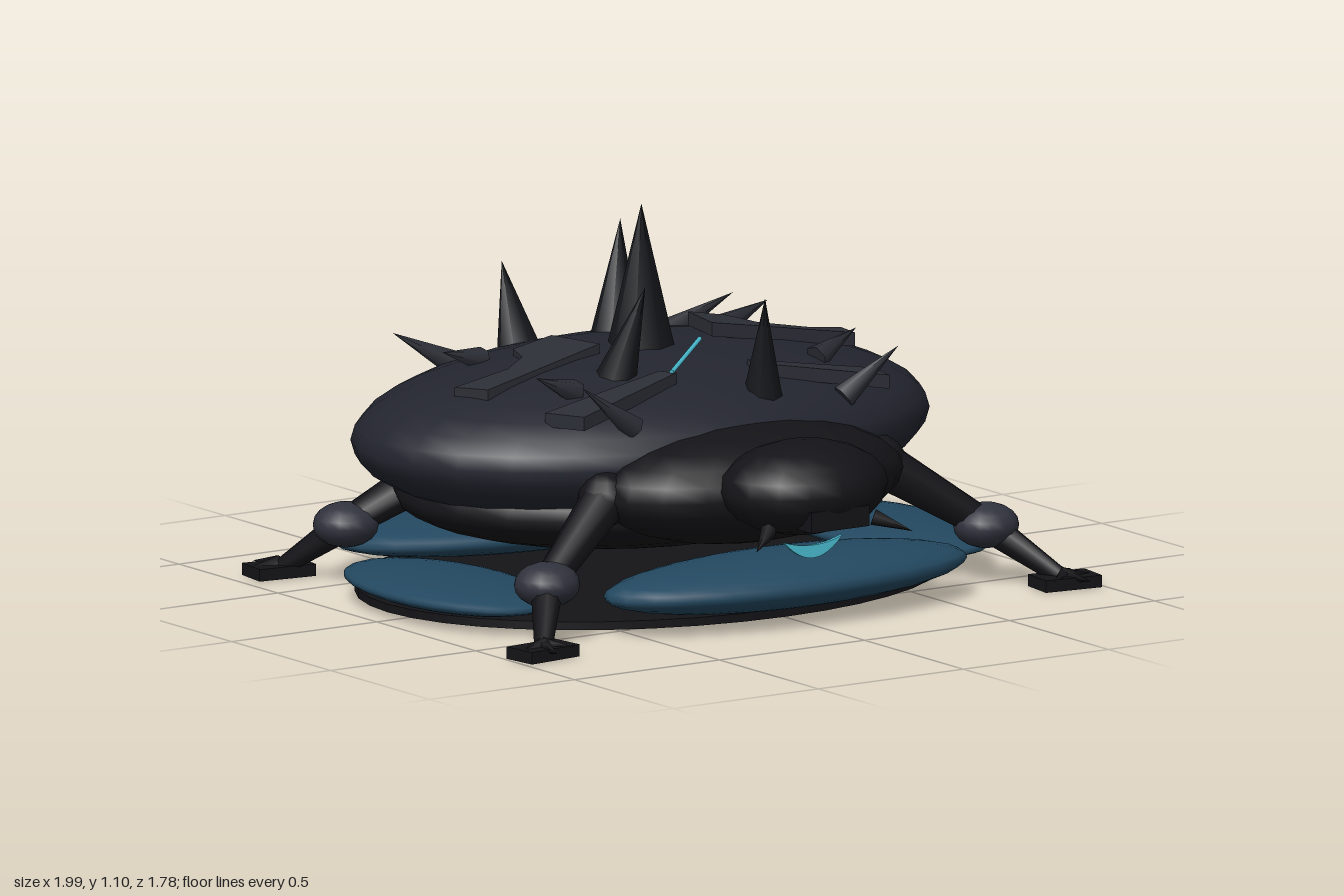
import * as THREE from 'three';

const mat = (color, side = THREE.FrontSide) => new THREE.MeshStandardMaterial({ color, side });
const shellMat = mat(0x23252f), plateMat = mat(0x2d2f37), blackMat = mat(0x141418);
const jointMat = mat(0x30323d), waterMat = mat(0x234860), glowMat = mat(0x4cc3d9, THREE.DoubleSide);
const spikeMat = mat(0x17181c);
const V = (x, y, z) => new THREE.Vector3(x, y, z);

export function createModel() {
  const model = new THREE.Group();

  function add(name, geometry, material) {
    const mesh = new THREE.Mesh(geometry, material);
    mesh.name = name;
    model.add(mesh);
    return mesh;
  }

  function ellipsoid(name, pos, radii, material, ws = 24, hs = 16) {
    const m = add(name, new THREE.SphereGeometry(1, ws, hs), material);
    m.position.set(...pos);
    m.scale.set(...radii);
    return m;
  }

  // tapered round bar from a to b; a zero end radius makes a spike
  function bar(name, a, b, ra, rb, material, sides = 8) {
    const dir = b.clone().sub(a);
    const m = add(name, new THREE.CylinderGeometry(rb, ra, dir.length(), sides), material);
    m.position.copy(a).addScaledVector(dir, 0.5);
    m.quaternion.setFromUnitVectors(V(0, 1, 0), dir.normalize());
    return m;
  }

  // base disc and pools around it
  const disc = add('baseDisc', new THREE.CylinderGeometry(1, 1, 0.024, 40), blackMat);
  disc.scale.set(0.9, 1, 0.69);
  disc.position.set(0, 0.012, -0.09);
  ellipsoid('frontPool', [0.02, 0.11, 0.57], [0.61, 0.08, 0.22], waterMat);
  ellipsoid('backPool', [-0.05, 0.1, -0.56], [0.7, 0.07, 0.28], waterMat);
  for (const s of [-1, 1]) ellipsoid('sidePool', [s * 0.755, 0.072, 0], [0.22, 0.045, 0.42], waterMat);

  // shell and belly
  const C = V(0, 0.44, -0.135), R = V(0.905, 0.245, 0.62);
  const shellY = (x, z) =>
    C.y + R.y * Math.sqrt(Math.max(0, 1 - (x / R.x) ** 2 - ((z - C.z) / R.z) ** 2));
  ellipsoid('shell', C.toArray(), R.toArray(), shellMat, 28, 18);
  ellipsoid('belly', [0, 0.28, -0.13], [0.76, 0.16, 0.58], blackMat);

  // neck and head
  ellipsoid('neck', [0, 0.365, 0.42], [0.5, 0.17, 0.26], blackMat, 20, 12);
  ellipsoid('head', [0, 0.395, 0.69], [0.26, 0.135, 0.205], blackMat, 16, 10);
  const snout = add('snout', new THREE.BoxGeometry(0.2, 0.06, 0.12), blackMat);
  snout.position.set(0, 0.33, 0.82);

  // glowing crescent mouth
  const smile = new THREE.Shape();
  smile.moveTo(-0.1, 0.25);
  smile.quadraticCurveTo(0, 0.14, 0.1, 0.25);
  smile.quadraticCurveTo(0, 0.215, -0.1, 0.25);
  const mouth = add('mouth', new THREE.ExtrudeGeometry(smile, { depth: 0.012, bevelEnabled: false }), glowMat);
  mouth.position.z = 0.73;

  // tail in two tapering parts
  bar('tailBase', V(0, 0.29, -0.66), V(-0.015, 0.16, -0.83), 0.075, 0.042, blackMat);
  bar('tailTip', V(-0.015, 0.18, -0.81), V(-0.1, 0.07, -0.89), 0.047, 0, blackMat);

  // legs, feet, claws and fangs
  for (const s of [-1, 1]) {
    ellipsoid('rearHip', [s * 0.38, 0.33, -0.55], [0.25, 0.13, 0.16], blackMat);
    bar('fang', V(s * 0.18, 0.3, 0.78), V(s * 0.27, 0.26, 0.85), 0.025, 0, blackMat, 6);
    for (const [hip, knee, foot] of [
      [[0.47, 0.36, 0.38], [0.757, 0.165, 0.505], [0.9, 0.02, 0.695]],
      [[0.47, 0.34, -0.4], [0.745, 0.165, -0.53], [0.86, 0.02, -0.7]],
    ]) {
      const at = p => V(p[0] * s, p[1], p[2]);
      const f = Math.sign(foot[2]);
      ellipsoid('hip', at(hip).toArray(), [0.08, 0.08, 0.08], blackMat, 12, 8);
      bar('thigh', at(hip), at(knee), 0.07, 0.045, blackMat);
      ellipsoid('knee', at(knee).toArray(), [0.097, 0.065, 0.092], jointMat, 16, 10);
      bar('shin', at(knee), at(foot), 0.048, 0.025, blackMat);
      const box = add('foot', new THREE.BoxGeometry(0.18, 0.035, 0.11), blackMat);
      box.position.set(s * foot[0], 0.018, foot[2]);
      box.rotation.y = -s * f * 0.12;
      for (const [dx, dz] of [[-0.07, 0.05], [0.02, 0.1], [0.09, 0.02]])
        bar('claw', at(foot).setY(0.035),
          V(s * (foot[0] + dx), 0.03, foot[2] + f * dz), 0.025, 0, blackMat, 5);
    }
  }

  // tall back spikes: base x, z, radius, then tip
  for (const [x, z, r, ...tip] of [
    [-0.02, -0.1, 0.105, -0.043, 1.095, -0.065],
    [0.06, -0.345, 0.08, 0.09, 0.985, -0.367],
    [-0.13, -0.55, 0.07, -0.155, 0.85, -0.607],
    [-0.25, 0.1, 0.065, -0.193, 0.91, 0.175],
    [0.12, 0.31, 0.06, 0.08, 0.88, 0.38],
  ]) bar('backSpike', V(x, shellY(x, z) - 0.04, z), V(...tip), r, 0, spikeMat, 8);

  // small thorns leaning outward: base x, z, then tip x, z
  for (const [x, z, tx, tz] of [
    [-0.37, -0.55, -0.55, -0.58], [0.37, -0.54, 0.58, -0.515],
    [-0.43, -0.31, -0.59, -0.27], [0.42, -0.33, 0.6, -0.37],
    [-0.42, 0.15, -0.58, 0.19], [0.42, 0.14, 0.585, 0.1],
    [-0.36, 0.36, -0.55, 0.38], [0.37, 0.35, 0.54, 0.38],
  ]) bar('thorn', V(x, shellY(x, z), z), V(tx, 0.69, tz), 0.037, 0, plateMat, 6);

  // angular plates, sloping down toward the sides of the shell
  function plate(points, height) {
    const shape = new THREE.Shape(points.map(([x, z]) => new THREE.Vector2(x, -z)));
    const g = new THREE.ExtrudeGeometry(shape, { depth: 0.04, bevelEnabled: false });
    g.rotateX(-Math.PI / 2);
    const p = g.attributes.position;
    for (let i = 0; i < p.count; i++) p.setY(i, p.getY(i) + height - 0.16 * Math.abs(p.getX(i)));
    g.computeVertexNormals();
    add('shellPlate', g, plateMat);
  }
  plate([[0.25, -0.26], [0.36, -0.23], [0.39, -0.11], [0.54, -0.065], [0.67, -0.1], [0.65, 0.0], [0.19, -0.05]], 0.715);
  plate([[-0.36, -0.25], [-0.22, -0.26], [-0.19, -0.06], [-0.63, 0.02], [-0.67, -0.09], [-0.48, -0.1], [-0.39, -0.16]], 0.695);
  plate([[-0.57, 0.22], [-0.15, 0.18], [-0.13, 0.24], [-0.53, 0.36]], 0.645);
  plate([[0.155, 0.18], [0.57, 0.21], [0.53, 0.35], [0.145, 0.25]], 0.645);

  // glowing crack across the shell
  bar('glowingCrack', V(-0.14, 0.665, 0.23), V(0.1, 0.7, 0.02), 0.007, 0.007, glowMat, 6);

  return model;
}
